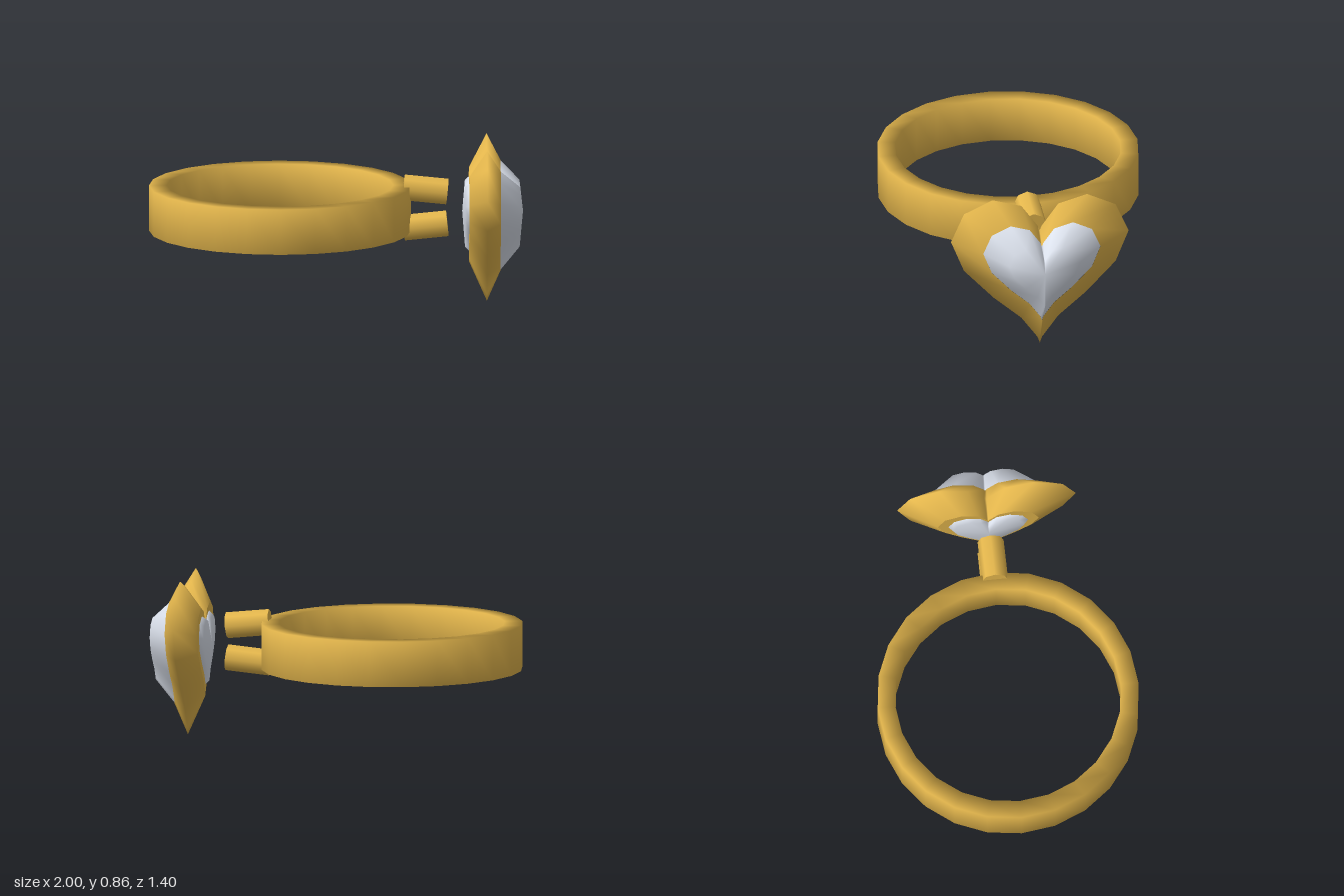
import * as THREE from 'three';
import { mergeVertices } from 'three/addons/utils/BufferGeometryUtils.js';

const gold = new THREE.MeshStandardMaterial({ color: 0xe6b84d });
const silver = new THREE.MeshStandardMaterial({ color: 0xdde3ee });

// Half heart outline as [z, y], from the tip up to the notch, about the heart's centre
const CENTRE_Y = 0.495;
const half = [
  [0, 0.005], [0.012, 0.04], [0.1, 0.16], [0.25, 0.29], [0.41, 0.46], [0.48, 0.635],
  [0.41, 0.795], [0.255, 0.867], [0.1, 0.822], [0.012, 0.7], [0, 0.67],
].map(([z, y]) => [z, y - CENTRE_Y]);
const heart = [...half, ...half.slice(1, -1).reverse().map(([z, y]) => [-z, y])];

// Share vertices so that normals run smoothly across the surface
function smooth(geometry) {
  geometry.deleteAttribute('uv');
  geometry.deleteAttribute('normal');
  const merged = mergeVertices(geometry, 1e-4);
  merged.computeVertexNormals();
  return merged;
}

// Skin a row of heart sections, each given as [x, scale], in order of growing x
function heartLoft(sections) {
  const n = heart.length, pos = [], index = [];
  for (const [x, s] of sections)
    for (const [z, y] of heart) pos.push(x, CENTRE_Y + y * s, z * s);
  for (let i = 0; i < sections.length - 1; i++)
    for (let j = 0; j < n; j++) {
      const a = i * n + j, b = i * n + (j + 1) % n;
      index.push(a, a + n, b, b, a + n, b + n);
    }
  const g = new THREE.BufferGeometry();
  g.setAttribute('position', new THREE.Float32BufferAttribute(pos, 3));
  g.setIndex(index);
  return smooth(g);
}

export function createModel() {
  const model = new THREE.Group();
  model.name = 'heartRing';
  const add = (name, geometry, material) => {
    const mesh = new THREE.Mesh(geometry, material);
    mesh.name = name;
    model.add(mesh);
    return mesh;
  };

  // Finger band
  const profile = [[0.7, 0.39], [0.7, 0.635], [0.605, 0.635], [0.605, 0.39], [0.7, 0.39]]
    .map(([r, y]) => new THREE.Vector2(r, y));
  add('band', smooth(new THREE.LatheGeometry(profile, 24)), gold).position.x = -0.3;

  // Two short posts leaning towards each other
  for (const [name, side] of [['upperPost', 1], ['lowerPost', -1]]) {
    const post = add(name, new THREE.CylinderGeometry(0.07, 0.07, 0.235, 8), gold);
    post.position.set(0.477, 0.513 + side * 0.098, 0);
    post.rotation.z = -Math.PI / 2 - side * 0.1;
  }

  // Heart setting with a bevelled rim and a flat back
  add('heartSetting', heartLoft([[0.71, 0.565], [0.805, 1], [0.878, 0.66]]), gold);
  add('settingBack', heartLoft([[0.71, 0.4], [0.71, 0.565]]), gold);

  // Heart stone, domed at the front and at the back
  add('stoneFront', heartLoft([[0.876, 0.66], [0.98, 0.4], [0.998, 0]]), silver);
  add('stoneBack', heartLoft([[0.673, 0], [0.688, 0.4], [0.712, 0.45]]), silver);

  return model;
}
